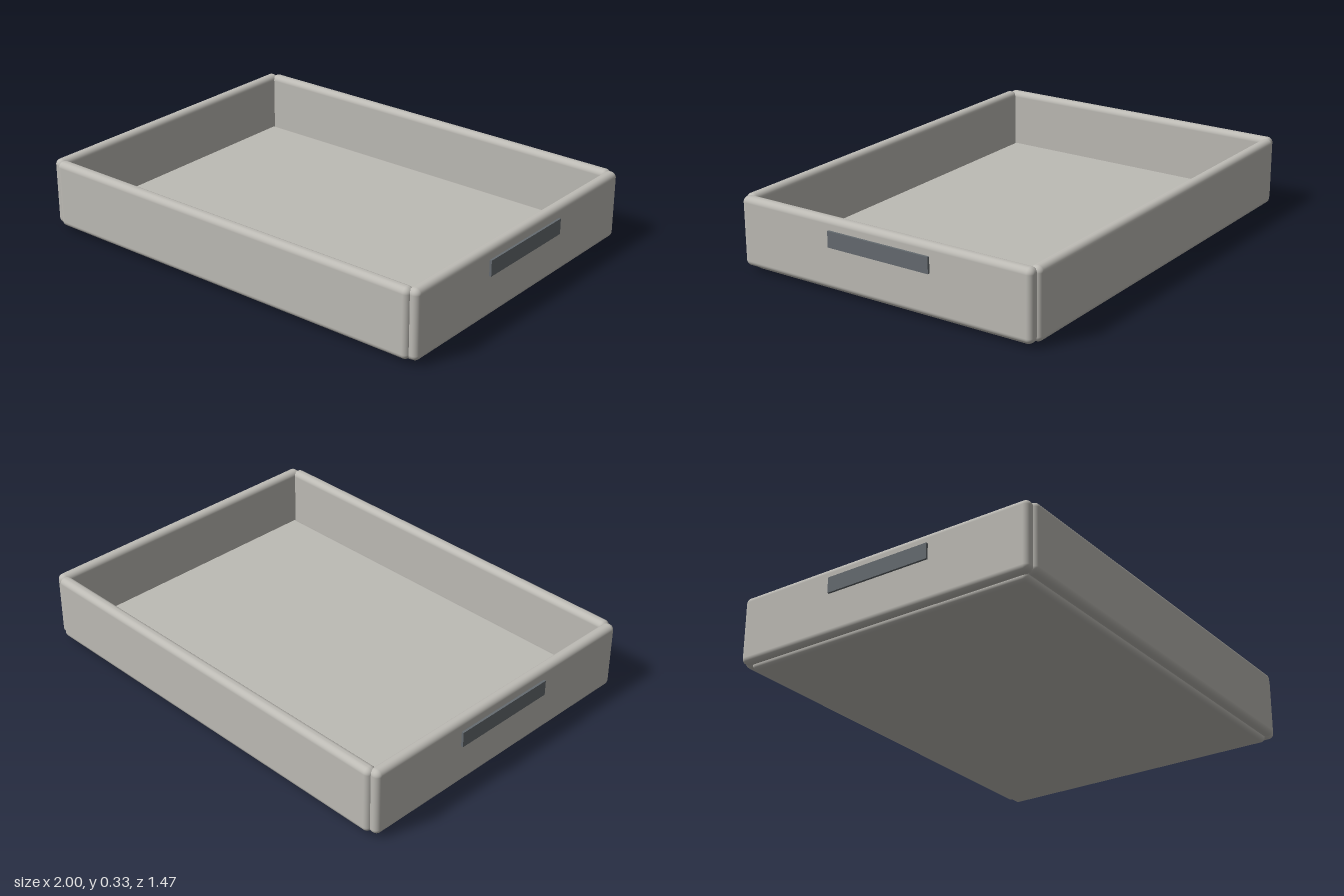
import * as THREE from 'three';
import { RoundedBoxGeometry } from 'three/addons/geometries/RoundedBoxGeometry.js';

export function createModel() {
  const tray = new THREE.Group();
  tray.name = 'tray';
  const grey = new THREE.MeshStandardMaterial({ color: 0xbdbbb5 });
  grey.name = 'warm grey';
  const slate = new THREE.MeshStandardMaterial({ color: 0x656b70 });
  slate.name = 'slate';

  const add = (name, geometry, material, x, y, z) => {
    const mesh = new THREE.Mesh(geometry, material);
    mesh.name = name;
    mesh.position.set(x, y, z);
    tray.add(mesh);
  };

  // Floor slab, slightly lower than the walls
  add('base', new RoundedBoxGeometry(1.91, 0.06, 1.38, 4, 0.02), grey, 0, 0.03, 0);

  // Long front and back walls, sitting a little proud of the side walls
  const longWall = new RoundedBoxGeometry(1.91, 0.305, 0.055, 5, 0.025);
  add('frontWall', longWall, grey, 0, 0.1725, 0.7075);
  add('backWall', longWall, grey, 0, 0.1725, -0.7075);

  // Side walls with a dark grip plate on each outer face
  const sideWall = new RoundedBoxGeometry(0.055, 0.305, 1.44, 5, 0.025);
  const grip = new THREE.BoxGeometry(0.014, 0.07, 0.5);
  for (const [side, s] of [['left', 1], ['right', -1]]) {
    add(side + 'Wall', sideWall, grey, s * 0.9625, 0.1725, 0);
    add(side + 'Grip', grip, slate, s * 0.993, 0.24, 0);
  }
  return tray;
}
